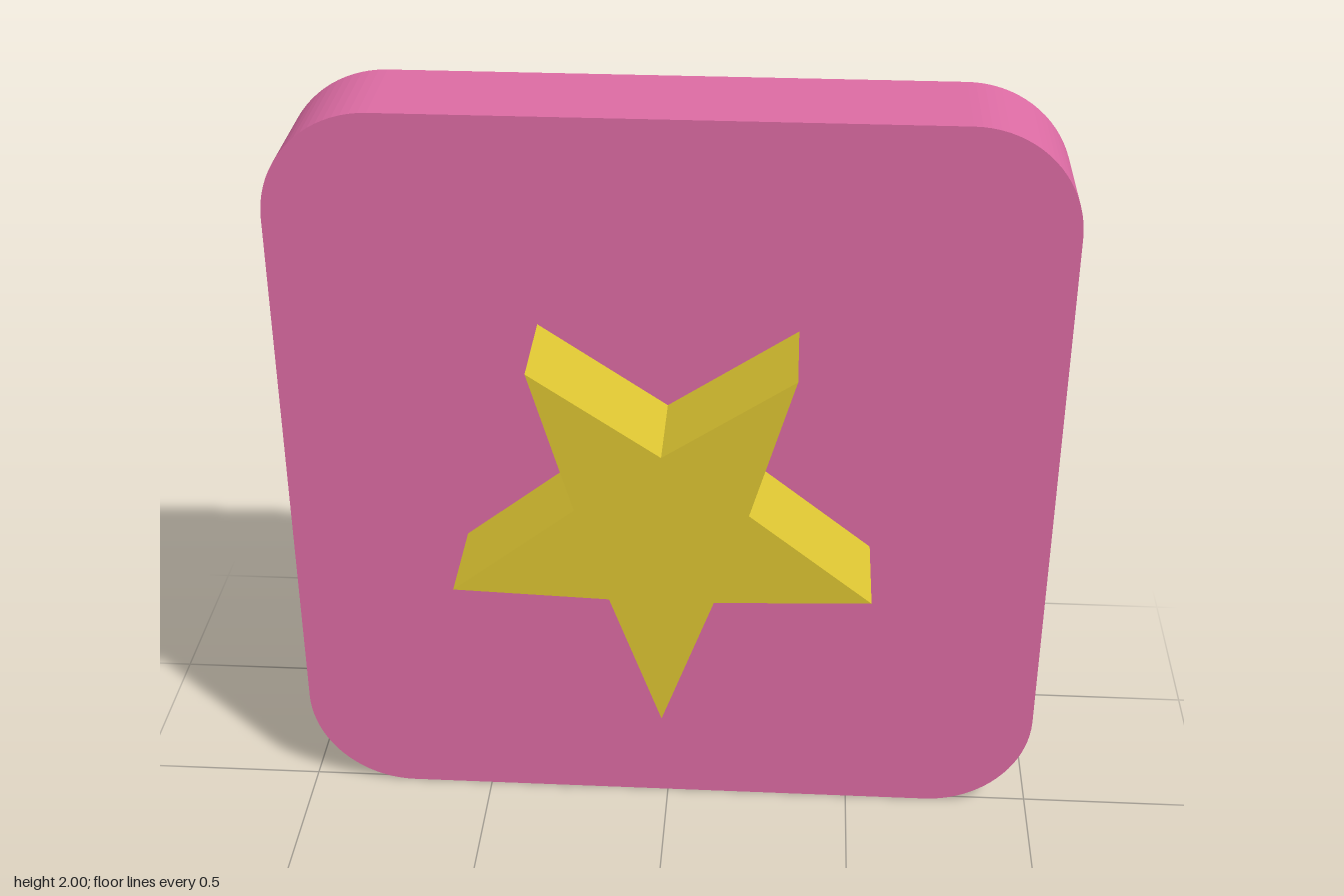
import * as THREE from 'three';

const pink = new THREE.MeshStandardMaterial({ name: 'pink', color: 0xdc6ba3 });
const yellow = new THREE.MeshStandardMaterial({ name: 'yellow', color: 0xdcc432 });

const BACK = -0.285, FACE = 0.015, FRONT = 0.285;

// Extrudes a shape between two z planes and names the mesh
function slab(name, shape, z0, z1, material) {
  const geometry = new THREE.ExtrudeGeometry(shape, { depth: z1 - z0, bevelEnabled: false, curveSegments: 10 });
  const mesh = new THREE.Mesh(geometry, material);
  mesh.name = name;
  mesh.position.z = z0;
  return mesh;
}

// Square outline with rounded corners, standing on y = 0
function roundedSquare(half, r) {
  const shape = new THREE.Shape();
  const c = half - r;
  [[c, -c], [c, c], [-c, c], [-c, -c]].forEach(([x, y], i) => {
    const start = (i - 1) * Math.PI / 2;
    shape.absarc(x, y + half, r, start, start + Math.PI / 2, false);
  });
  shape.closePath();
  return shape;
}

// Upside-down star: right half from bottom tip to top notch, then mirrored
function star() {
  const right = [[0, 0.447], [0.133, 0.815], [0.53, 0.829], [0.217, 1.075], [0.327, 1.452], [0, 1.233]];
  const left = right.slice(1, -1).reverse().map(([x, y]) => [-x, y]);
  return new THREE.Shape([...right, ...left].map(([x, y]) => new THREE.Vector2(x, y)));
}

export function createModel() {
  const model = new THREE.Group();
  model.name = 'starTile';
  model.add(slab('plate', roundedSquare(1, 0.28), BACK, FACE, pink));
  model.add(slab('star', star(), FACE, FRONT, yellow));
  return model;
}
